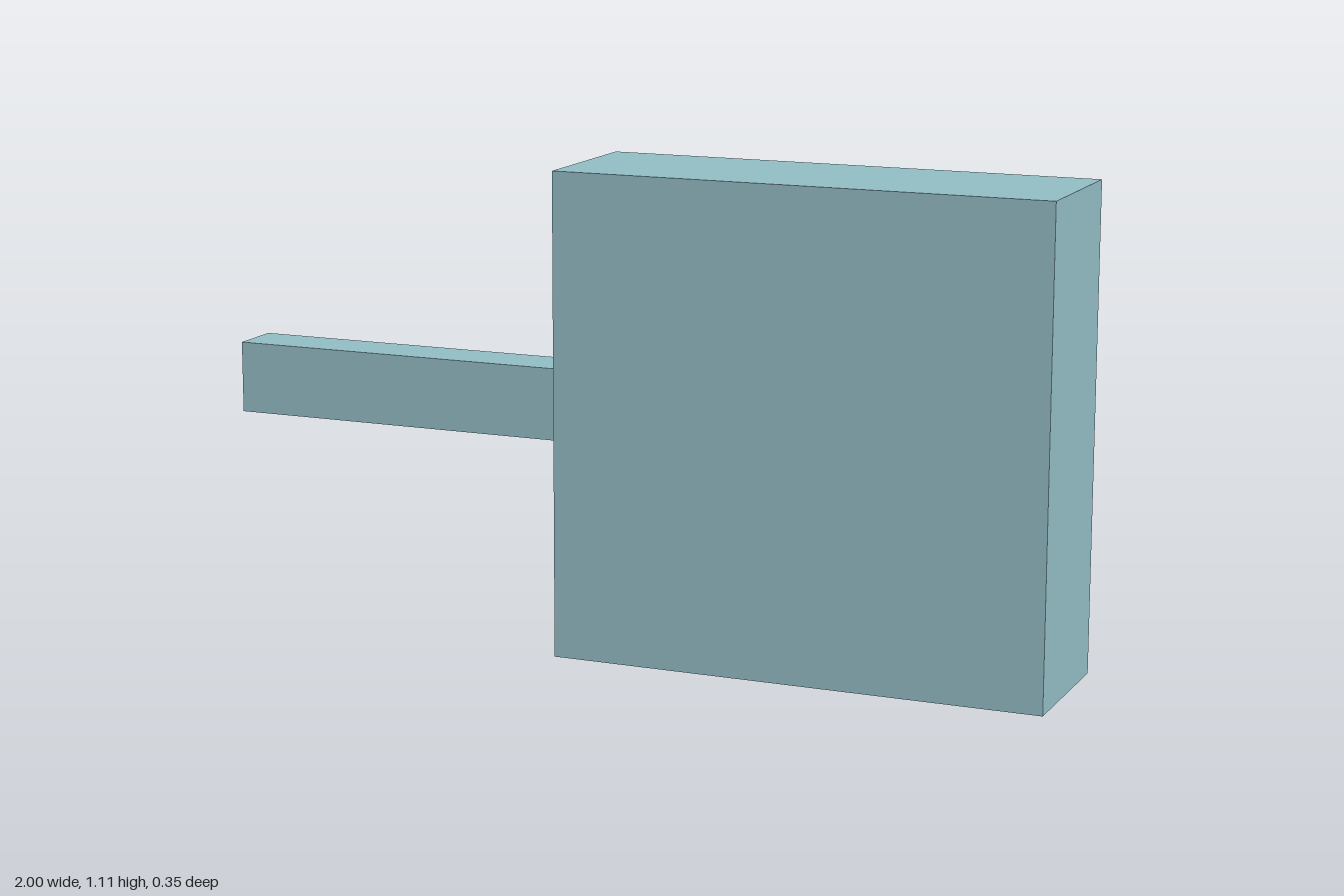
import * as THREE from 'three';

// Box spanning two opposite corners
function block(name, min, max, material) {
  const size = max.map((v, i) => v - min[i]);
  const mesh = new THREE.Mesh(new THREE.BoxGeometry(...size), material);
  mesh.position.set(...max.map((v, i) => (v + min[i]) / 2));
  mesh.name = name;
  return mesh;
}

export function createModel() {
  const paleTeal = new THREE.MeshStandardMaterial({ color: 0x92bcc4 });
  paleTeal.name = 'paleTeal';

  const model = new THREE.Group();
  model.name = 'paddle';
  model.add(
    // Broad square head
    block('head', [-0.142, 0, -0.174], [1, 1.105, 0.174], paleTeal),
    // Slim handle meeting the head's side
    block('handle', [-1, 0.472, -0.065], [-0.142, 0.638, 0.06], paleTeal),
  );
  return model;
}
